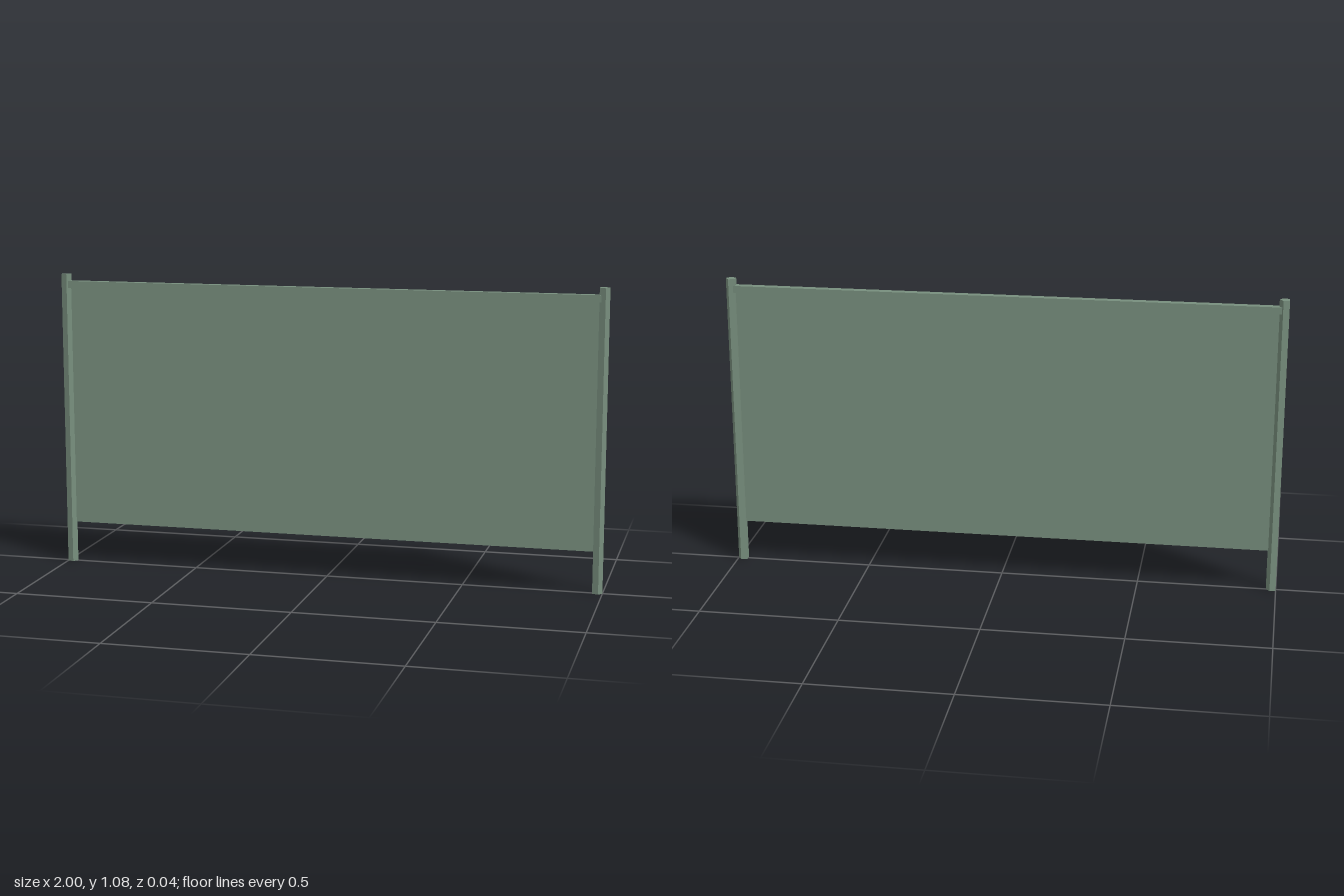
import * as THREE from 'three';

export function createModel() {
  const group = new THREE.Group();
  const green = new THREE.MeshStandardMaterial({ color: 0x778e7d, flatShading: true });
  green.name = 'sage green';

  const add = (name, geometry, x, y) => {
    const mesh = new THREE.Mesh(geometry, green);
    mesh.name = name;
    mesh.position.set(x, y, 0);
    group.add(mesh);
  };

  // five-sided posts, both with a corner towards +x
  const r = 0.0195, height = 1.08;
  const post = new THREE.CylinderGeometry(r, r, height, 5, 1, false, Math.PI / 2);
  const rightX = -1 + r * Math.cos(Math.PI / 5);
  const leftX = 1 - r;
  add('rightPost', post, rightX, height / 2);
  add('leftPost', post, leftX, height / 2);

  // top rail and thin panel span between the post centres
  const span = leftX - rightX;
  const middle = (leftX + rightX) / 2;
  add('topRail', new THREE.BoxGeometry(span, 0.025, 0.027), middle, 1.0425);
  add('panel', new THREE.BoxGeometry(span, 0.885, 0.005), middle, 0.5925);

  return group;
}
